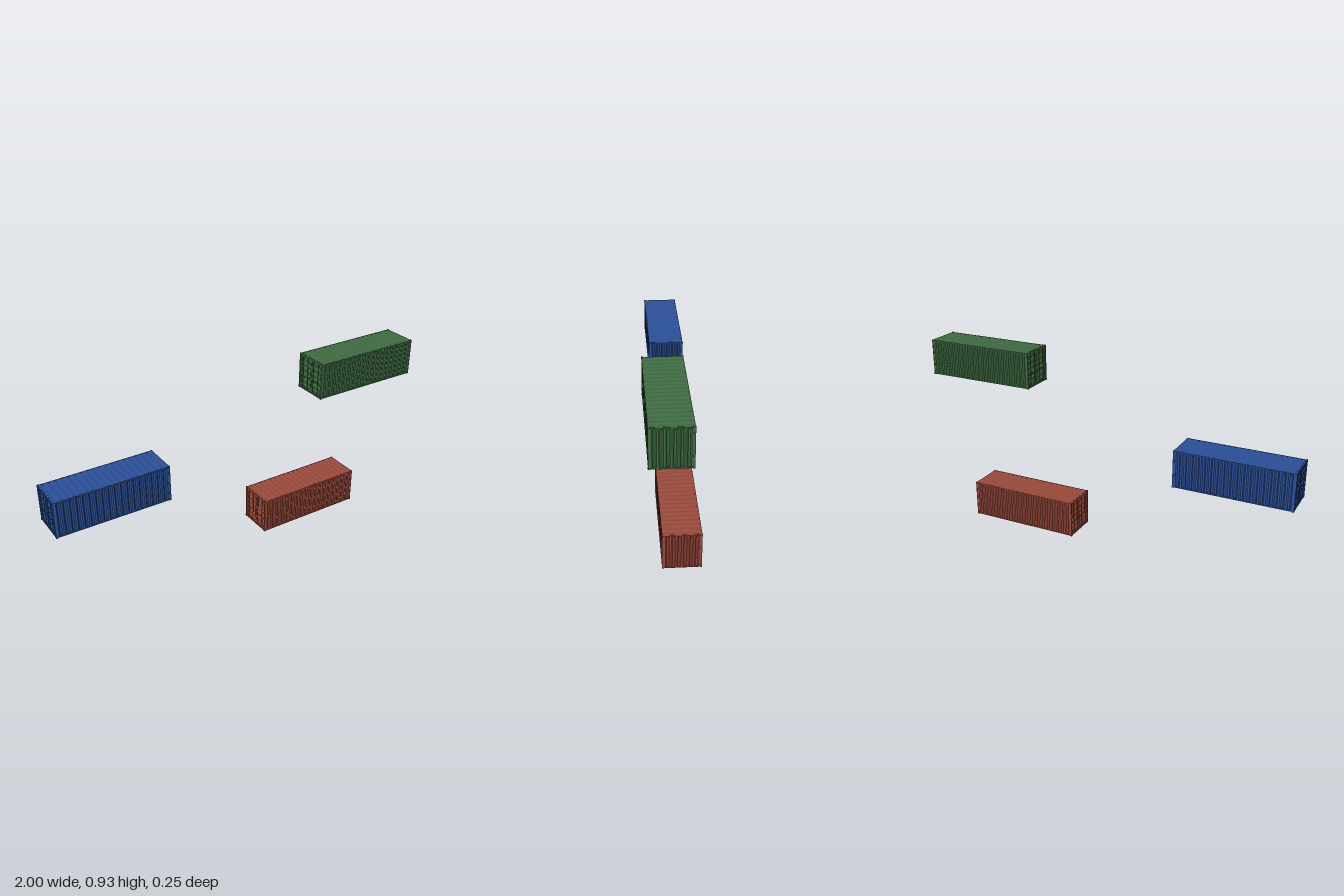
import * as THREE from 'three';

const L = 0.588, H = 0.188, W = 0.184; // outer size of one container
const CAST = 0.009, POST = 0.0075;     // corner casting and frame thickness

function add(parent, name, geometry, material, x = 0, y = 0, z = 0) {
  const mesh = new THREE.Mesh(geometry, material);
  mesh.name = name;
  mesh.position.set(x, y, z);
  parent.add(mesh);
  return mesh;
}

// Corrugated sheet: waves run along x, face +y (outer flats at y = 0), extruded along z
function corrugated(length, span, count, depth) {
  const pitch = length / (count + 0.3), top = [];
  for (let i = 0; i < count; i++) {
    const x = -length / 2 + i * pitch;
    top.push([x, 0], [x + pitch * 0.3, 0], [x + pitch * 0.5, -depth], [x + pitch * 0.8, -depth]);
  }
  top.push([length / 2 - pitch * 0.3, 0], [length / 2, 0]);
  const under = top.map(([x, y]) => [x, y - 0.0015]).reverse();
  const shape = new THREE.Shape([...top, ...under].map(([x, y]) => new THREE.Vector2(x, y)));
  return new THREE.ExtrudeGeometry(shape, { depth: span, bevelEnabled: false }).translate(0, 0, -span / 2);
}

// One door leaf on the -x end, centred on z = 0
function createDoor(material, width, hingeSide) {
  const door = new THREE.Group();
  door.name = 'door';
  const h = H - 2 * CAST, mid = H / 2, face = -L / 2 + 0.004;

  add(door, 'doorPanel', corrugated(h - 0.012, width - 0.012, 5, 0.003).rotateZ(Math.PI / 2),
    material, face + 0.0015, mid);
  for (const s of [-1, 1]) {
    add(door, 'doorStile', new THREE.BoxGeometry(0.005, h, 0.006), material,
      face + 0.0025, mid, s * (width / 2 - 0.0035));
    add(door, 'doorRail', new THREE.BoxGeometry(0.005, 0.006, width - 0.002), material,
      face + 0.0025, mid + s * (h / 2 - 0.003));

    // locking bar with its guides and handle
    const z = s * width * 0.22;
    add(door, 'lockBar', new THREE.CylinderGeometry(0.0013, 0.0013, H - 0.008, 8), material,
      face - 0.002, mid, z);
    for (const t of [0.06, 0.33, 0.67, 0.94]) {
      add(door, 'barGuide', new THREE.BoxGeometry(0.0045, 0.004, 0.006), material,
        face - 0.001, CAST + h * t, z);
    }
    add(door, 'lockHandle', new THREE.BoxGeometry(0.0015, 0.0025, 0.022), material,
      face - 0.003, H * (s > 0 ? 0.42 : 0.38), z - hingeSide * 0.009);
  }
  for (let i = 0; i < 4; i++) {
    add(door, 'hinge', new THREE.BoxGeometry(0.005, 0.006, 0.008), material,
      face - 0.0018, CAST + h * (0.12 + i * 0.253), hingeSide * (width / 2 - 0.001));
  }
  return door;
}

function createContainer(name, color) {
  const material = new THREE.MeshStandardMaterial({ color });
  const box = new THREE.Group();
  box.name = name;
  const wallL = L - 2 * POST, wallW = W - 2 * POST, wallH = H - 2 * POST + 0.002;

  // frame: castings, posts and rails
  for (const sx of [-1, 1]) for (const sz of [-1, 1]) {
    add(box, 'cornerPost', new THREE.BoxGeometry(POST, H - 0.01, POST), material,
      sx * (L / 2 - POST / 2 - 0.0006), H / 2, sz * (W / 2 - POST / 2 - 0.0006));
    for (const sy of [-1, 1]) {
      add(box, 'cornerCasting', new THREE.BoxGeometry(CAST * 1.1, CAST, CAST), material,
        sx * (L / 2 - CAST * 0.55), H / 2 + sy * (H / 2 - CAST / 2), sz * (W / 2 - CAST / 2));
    }
  }
  for (const s of [-1, 1]) for (const sy of [-1, 1]) {
    const y = H / 2 + sy * (H / 2 - 0.0045);
    add(box, 'sideRail', new THREE.BoxGeometry(L - 0.015, 0.006, 0.006), material,
      0, y, s * (W / 2 - 0.004));
    add(box, 'endRail', new THREE.BoxGeometry(0.006, 0.006, W - 0.015), material,
      s * (L / 2 - 0.004), y, 0);
  }

  // corrugated side walls, end wall and roof
  for (const s of [-1, 1]) {
    add(box, 'sideWall', corrugated(wallL, wallH, 18, 0.0045).rotateX(s * Math.PI / 2), material,
      0, H / 2, s * (W / 2 - 0.0018));
  }
  add(box, 'endWall', corrugated(wallW, wallH, 6, 0.0045).rotateX(Math.PI / 2).rotateY(Math.PI / 2),
    material, L / 2 - 0.0018, H / 2, 0);
  add(box, 'roof', corrugated(wallL, W - 0.01, 18, 0.002), material, 0, H - 0.0008, 0);

  // floor on cross members
  add(box, 'floor', new THREE.BoxGeometry(L - 0.01, 0.002, W - 0.01), material, 0, 0.0075, 0);
  const members = 19;
  for (let i = 0; i < members; i++) {
    add(box, 'crossMember', new THREE.BoxGeometry(0.005, 0.005, W - 0.012), material,
      ((i + 0.5) / members - 0.5) * wallL, 0.0045, 0);
  }

  // pair of doors
  for (const s of [-1, 1]) {
    const door = createDoor(material, wallW / 2, s);
    door.position.z = s * wallW / 4;
    box.add(door);
  }
  return box;
}

export function createModel() {
  const model = new THREE.Group();
  model.name = 'shippingContainers';
  const layout = [
    ['redContainer', 0x9a4a3c, 0.431, 0, -0.035],
    ['blueContainer', 0x2b5099, -0.706, 0.4, -0.035],
    ['greenContainer', 0x3f6b42, 0.706, 0.742, 0.035],
  ];
  for (const [name, color, x, y, z] of layout) {
    const container = createContainer(name, color);
    container.position.set(x, y, z);
    model.add(container);
  }
  return model;
}
